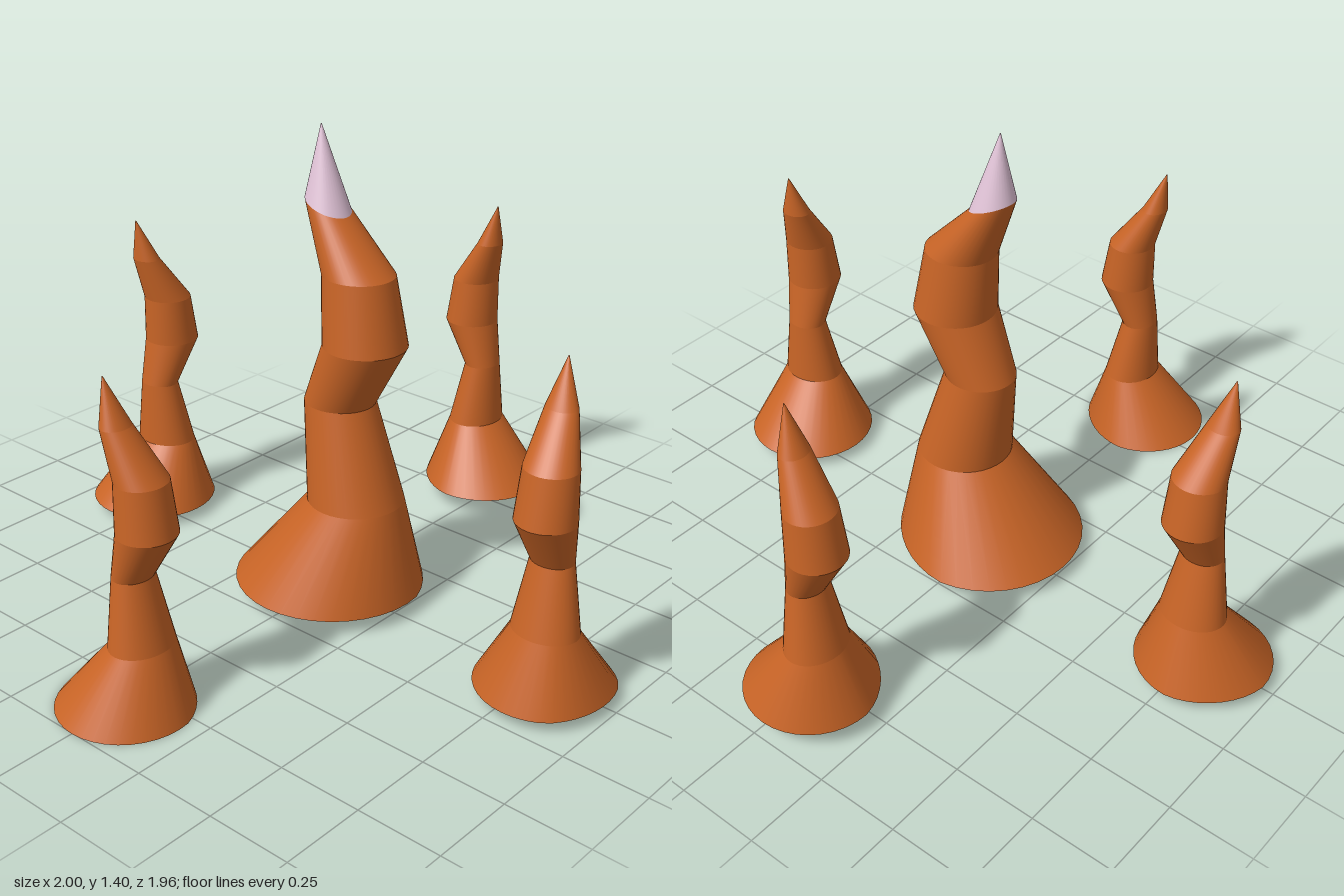
import * as THREE from 'three';

const orange = new THREE.MeshStandardMaterial({ color: 0xc86426 });
const pink = new THREE.MeshStandardMaterial({ color: 0xe2c4d8 });
const red = new THREE.MeshStandardMaterial({ color: 0xc8202e });
orange.name = 'orange hide';
pink.name = 'pale pink claw';
red.name = 'dark red underside';
const SEGMENTS = 36;

// One elliptical ring; tilt slopes it along z, dent flattens one side of the foot
function ringPoints({ x, y, z, rx, rz, tilt = 0, dent = null }) {
  const points = [];
  for (let i = 0; i < SEGMENTS; i++) {
    const a = (i / SEGMENTS) * Math.PI * 2;
    const k = dent === null ? 1 : 1 - 0.07 * Math.max(0, Math.cos(2 * (a - dent))) * (Math.cos(a - dent) > 0 ? 1 : 0);
    const dx = Math.cos(a) * rx * k, dz = Math.sin(a) * rz * k;
    points.push(x + dx, y + dz * tilt, z + dz);
  }
  return points;
}

// A band between two rings: smooth around, with a crease at each ring
function band(name, lower, upper, material) {
  const geometry = new THREE.BufferGeometry();
  const index = [];
  for (let i = 0; i < SEGMENTS; i++) {
    const j = (i + 1) % SEGMENTS;
    index.push(i, i + SEGMENTS, j, j, i + SEGMENTS, j + SEGMENTS);
  }
  geometry.setAttribute('position', new THREE.Float32BufferAttribute([...ringPoints(lower), ...ringPoints(upper)], 3));
  geometry.setIndex(index);
  geometry.computeVertexNormals();
  const mesh = new THREE.Mesh(geometry, material);
  mesh.name = name;
  return mesh;
}

// Flat underside closing the lowest ring
function underside(ring, material) {
  const geometry = new THREE.BufferGeometry();
  const index = [];
  for (let i = 0; i < SEGMENTS; i++) index.push(i, (i + 1) % SEGMENTS, SEGMENTS);
  geometry.setAttribute('position', new THREE.Float32BufferAttribute([...ringPoints(ring), ring.x, ring.y, ring.z], 3));
  geometry.setIndex(index);
  geometry.computeVertexNormals();
  const mesh = new THREE.Mesh(geometry, material);
  mesh.name = 'underside';
  return mesh;
}

function tentacle(name, rings, tipMaterial, baseMaterial) {
  const group = new THREE.Group();
  group.name = name;
  group.add(underside(rings[0], baseMaterial));
  for (let i = 0; i < rings.length - 1; i++) {
    const isTip = i === rings.length - 2;
    group.add(band(isTip ? 'tip' : 'segment' + (i + 1), rings[i], rings[i + 1], isTip ? tipMaterial : orange));
  }
  return group;
}

export function createModel() {
  const model = new THREE.Group();
  model.name = 'tentacles';

  // Large central tentacle: y, z, radius along x, radius along z, tilt
  const central = [
    [0.05, 0.01, 0.285, 0.285, 0], [0.33, 0.1, 0.14, 0.14, 0],
    [0.62, 0.04, 0.1, 0.105, 0], [0.81, 0.13, 0.12, 0.12, 0],
    [1.01, 0.105, 0.1, 0.105, 0], [1.185, -0.005, 0.062, 0.066, -0.38],
    [1.405, -0.03, 0.001, 0.001, 0],
  ].map(([y, z, rx, rz, tilt], i) => ({ x: 0, y, z, rx, rz, tilt, dent: i ? null : 0.6 }));
  model.add(tentacle('centralTentacle', central, pink, red));

  // Small tentacles: y, offset along the bend, offset across it, radii along and across
  const small = [
    [0, 0.025, 0, 0.195, 0.195], [0.193, 0.07, 0.02, 0.08, 0.097],
    [0.39, 0.052, 0.018, 0.052, 0.062], [0.527, 0.105, 0.025, 0.082, 0.083],
    [0.67, 0.093, 0.025, 0.07, 0.074], [0.805, 0.03, 0.005, 0.037, 0.045],
    [0.932, 0, -0.003, 0.001, 0.001],
  ];
  // Position, bend axis and sign, direction of the flattened foot
  const places = [
    { name: 'frontTentacle', x: -0.02, y: 0.038, z: 0.803, axis: 'x', sign: -1, dent: 1.75 },
    { name: 'backTentacle', x: 0, y: 0.038, z: -0.785, axis: 'x', sign: 1, dent: -0.8 },
    { name: 'leftTentacle', x: 0.797, y: 0.058, z: -0.005, axis: 'z', sign: -1, dent: 3.93 },
    { name: 'rightTentacle', x: -0.808, y: 0.003, z: -0.025, axis: 'z', sign: 1, dent: 0.6 },
  ];
  for (const p of places) {
    const alongX = p.axis === 'x';
    const rings = small.map(([y, bend, across, rBend, rAcross], i) => ({
      x: p.x + (alongX ? p.sign * bend : across),
      y: p.y + y,
      z: p.z + (alongX ? across : p.sign * bend),
      rx: alongX ? rBend : rAcross,
      rz: alongX ? rAcross : rBend,
      dent: i ? null : p.dent,
    }));
    model.add(tentacle(p.name, rings, orange, orange));
  }
  return model;
}
